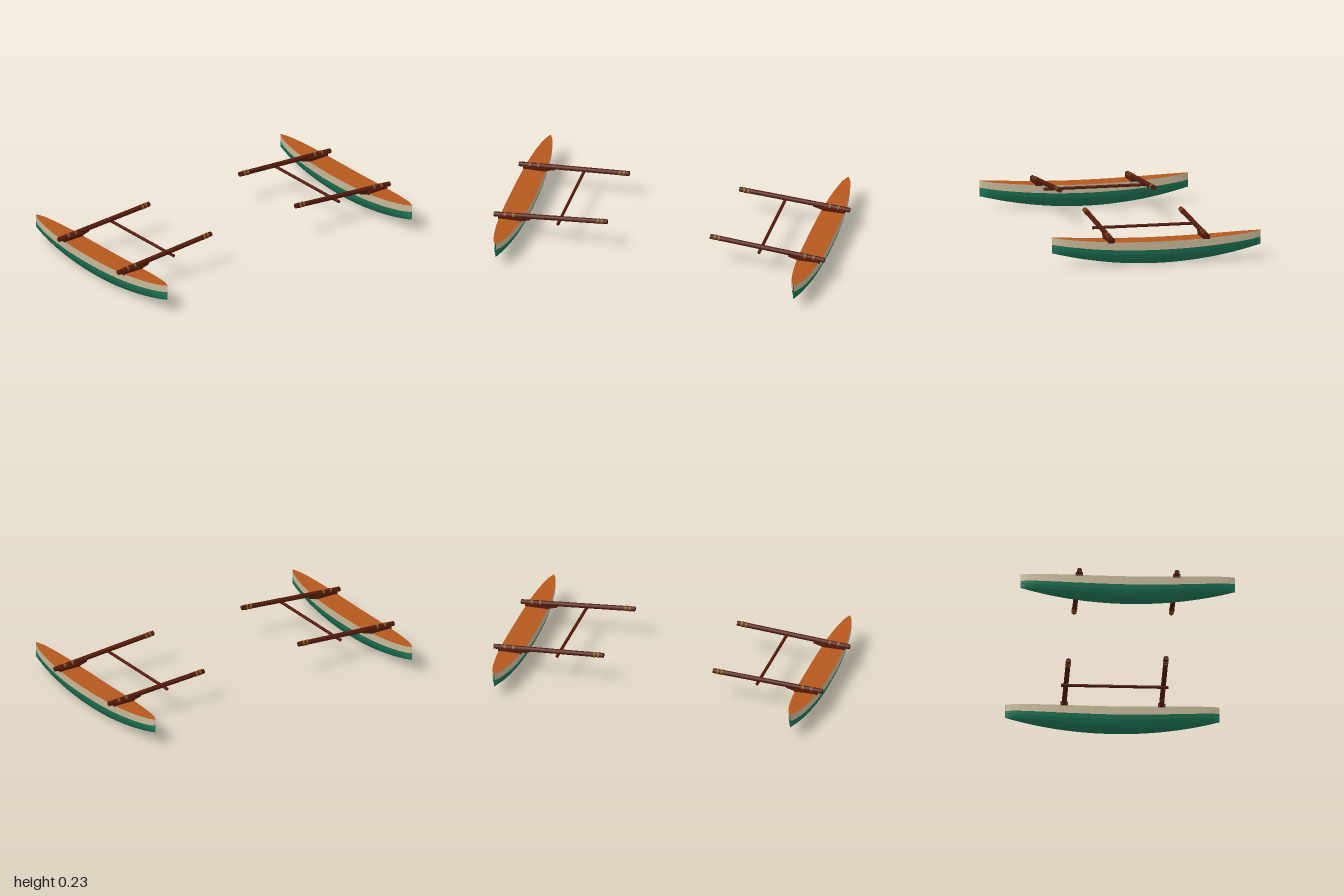
import * as THREE from 'three';

const mat = (name, color, opts = {}) => {
  const m = new THREE.MeshStandardMaterial({ color, ...opts });
  m.name = name;
  return m;
};

export function createModel() {
  const hullSide = { flatShading: true, side: THREE.DoubleSide };
  const green = mat('hull green', 0x1e7857, hullSide);
  const cream = mat('topside cream', 0xcbbb9b, hullSide);
  const deckMat = mat('deck orange', 0xb5581e, hullSide);
  const wood = mat('dark wood', 0x541a0b);
  const rope = mat('rope tan', 0x85592a);

  const L = 0.627, N = 32;
  const halfWidth = t => 0.003 + 0.0695 * Math.max(0, 1 - Math.abs(t) ** 2.6) ** 0.7;
  const sheer = t => 0.143 + (t > 0 ? 0.037 : 0.028) * t * t;
  const paintLine = t => 0.093 + (t > 0 ? 0.046 : 0.038) * t * t;
  const keel = t => 0.003 + 0.085 * t * t;
  // Hull section at station t, from paint line down to the keel and up again
  const lower = [[0.95, 1], [0.84, 0.68], [0.66, 0.38], [0.44, 0.14], [0.2, 0.025], [0, 0]];
  const greenSection = t => {
    const side = lower.map(([w, h]) => [w * halfWidth(t), keel(t) + h * (paintLine(t) - keel(t))]);
    return [...side, ...side.slice(0, -1).reverse().map(([x, y]) => [-x, y])];
  };
  const leftTopside = t => [[halfWidth(t), sheer(t)], [halfWidth(t) * 0.95, paintLine(t)]];
  const rightTopside = t => [[-halfWidth(t) * 0.95, paintLine(t)], [-halfWidth(t), sheer(t)]];
  const deckSection = t => [[-halfWidth(t), sheer(t)], [halfWidth(t), sheer(t)]];

  // Skin a strip through cross-sections along z
  function loft(section) {
    const pos = [], idx = [];
    const n = section(0).length;
    for (let i = 0; i <= N; i++) {
      const t = -1 + 2 * i / N;
      for (const [x, y] of section(t)) pos.push(x, y, t * L);
    }
    for (let i = 0; i < N; i++) for (let j = 0; j < n - 1; j++) {
      const a = i * n + j, b = a + 1, c = a + n, d = c + 1;
      idx.push(a, c, b, b, c, d);
    }
    const g = new THREE.BufferGeometry();
    g.setAttribute('position', new THREE.Float32BufferAttribute(pos, 3));
    g.setIndex(idx);
    g.computeVertexNormals();
    return g;
  }

  function add(parent, name, geo, material) {
    const m = new THREE.Mesh(geo, material);
    m.name = name;
    parent.add(m);
    return m;
  }

  const UP = new THREE.Vector3(0, 1, 0);
  function rod(parent, name, a, b, r, material) {
    const d = b.clone().sub(a);
    const m = add(parent, name, new THREE.CylinderGeometry(r, r, d.length(), 14), material);
    m.position.copy(a).add(b).multiplyScalar(0.5);
    m.quaternion.setFromUnitVectors(UP, d.normalize());
  }

  // Block cut to a side outline in x and y, centred on z
  function block(parent, name, s, outline, z, depth) {
    const shape = new THREE.Shape(outline.map(([x, y]) => new THREE.Vector2(s * x, y)));
    const geo = new THREE.ExtrudeGeometry(shape, { depth, bevelEnabled: false });
    add(parent, name, geo, wood).position.z = z - depth / 2;
  }

  const model = new THREE.Group();
  model.name = 'outriggerFloats';

  for (const s of [1, -1]) {
    const half = new THREE.Group();
    half.name = s > 0 ? 'leftOutrigger' : 'rightOutrigger';
    model.add(half);

    // Float hull, open at the narrow stem and stern slits
    const float = new THREE.Group();
    float.name = 'float';
    float.position.x = s * 0.9;
    half.add(float);
    add(float, 'hullBottom', loft(greenSection), green);
    add(float, 'leftTopside', loft(leftTopside), cream);
    add(float, 'rightTopside', loft(rightTopside), cream);
    add(float, 'deck', loft(deckSection), deckMat);

    // Cross beams rising inboard, with saddles and lashings
    const beams = [
      ['frontBeam', 0.285, s > 0 ? 0.307 : 0.315, 0.219],
      ['backBeam', -0.285, 0.333, 0.203],
    ];
    for (const [name, z, innerX, innerY] of beams) {
      const beam = new THREE.Group();
      beam.name = name;
      half.add(beam);
      const outer = new THREE.Vector3(s * 0.999, 0.164, z);
      const inner = new THREE.Vector3(s * innerX, innerY, z);
      const at = x => outer.clone().lerp(inner, (0.999 - x) / (0.999 - innerX));
      rod(beam, 'pole', outer, inner, 0.0145, wood);

      const ring = (label, x, r) => rod(beam, label, at(x - 0.006), at(x + 0.006), r, rope);
      for (const dx of [0.03, 0.055]) ring('endLashing', innerX + dx, 0.0165);
      for (const x of [0.88, 0.932]) ring('saddleLashing', x, 0.0165);

      // Saddle under the beam, with a thin tapering toe inboard
      block(beam, 'saddle', s, [[0.97, 0.145], [0.97, 0.166], [0.832, 0.172], [0.832, 0.145]], z, 0.042);
      block(beam, 'saddleToe', s, [[0.832, 0.147], [0.832, 0.172], [0.78, 0.176], [0.78, 0.161]], z, 0.022);
    }

    // Spreader tying the two beams together
    rod(half, 'spreader', new THREE.Vector3(s * 0.608, 0.17, -0.315),
      new THREE.Vector3(s * 0.608, 0.17, 0.312), 0.009, wood);
  }
  return model;
}
